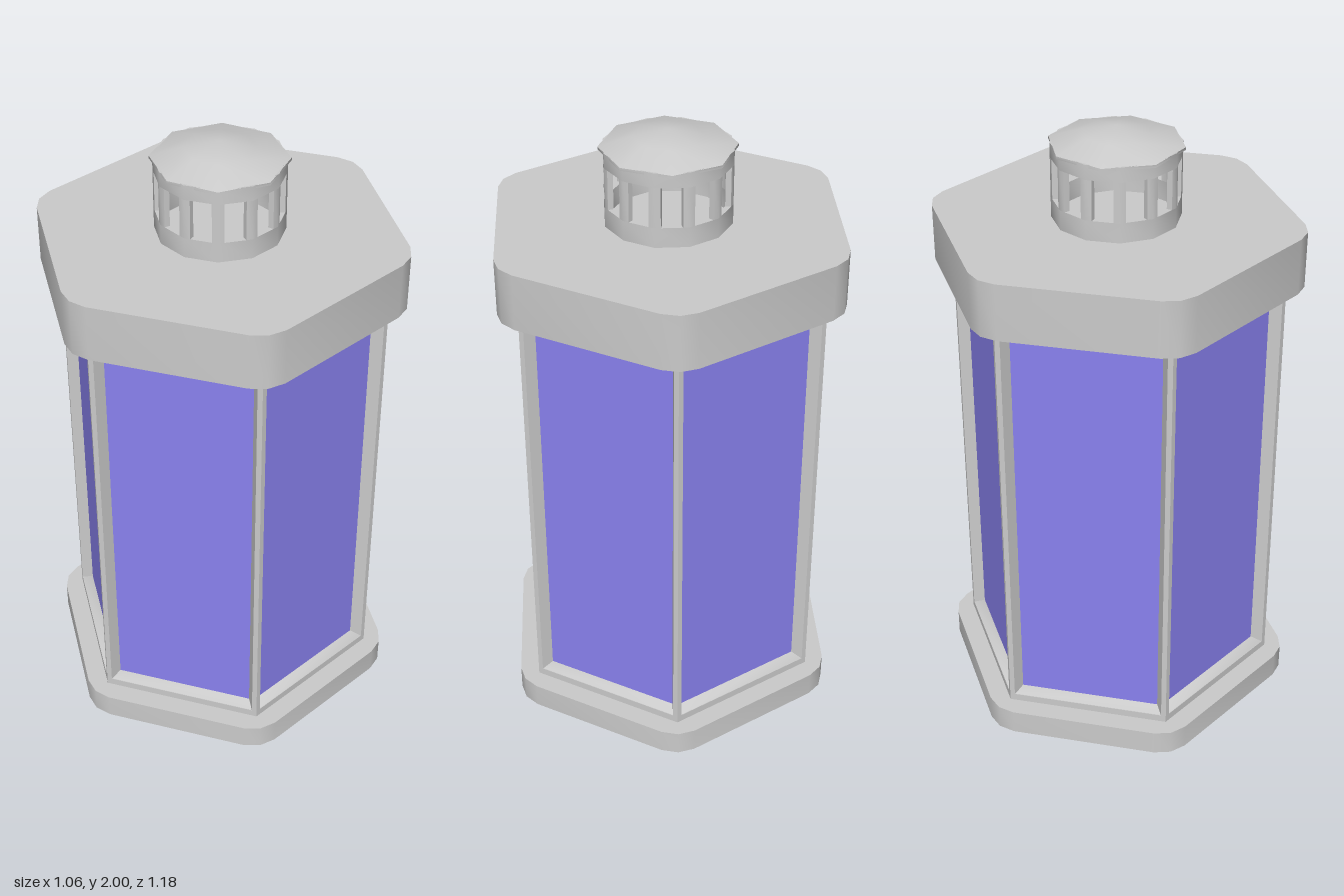
import * as THREE from 'three';
import { toCreasedNormals } from 'three/addons/utils/BufferGeometryUtils.js';

const TAU = Math.PI * 2;
const grey = new THREE.MeshStandardMaterial({ color: 0xcccccc });
const glass = new THREE.MeshStandardMaterial({ color: 0x8a82f0 });

// Regular polygon by apothem; 'turn' rotates the first corner away from z
function polygon(n, apothem, turn = 0) {
  const r = apothem / Math.cos(Math.PI / n);
  return Array.from({ length: n }, (_, i) => {
    const a = turn + (i / n) * TAU;
    return new THREE.Vector2(-r * Math.sin(a), r * Math.cos(a));
  });
}

// Plan outline extruded upwards from y0 to y1
function prism(points, y0, y1, hole) {
  const shape = new THREE.Shape(points);
  if (hole) shape.holes.push(new THREE.Path(hole));
  const geo = new THREE.ExtrudeGeometry(shape, { depth: y1 - y0, bevelEnabled: false });
  return toCreasedNormals(geo.rotateX(-Math.PI / 2).translate(0, y0, 0), 0.6);
}

// Posts at the corners of an n-sided wall, each with a kite-like section
function addPosts(group, name, n, outer, inner, halfWidth, y0, y1, turn) {
  const ro = outer / Math.cos(Math.PI / n), ri = inner / Math.cos(Math.PI / n);
  const c = Math.cos(Math.PI / n), s = Math.sin(Math.PI / n);
  const along = (r, w, side) => new THREE.Vector2(side * w * c, r - w * s);
  const section = [
    new THREE.Vector2(0, ro), along(ro, halfWidth, -1), along(ri, halfWidth, -1),
    new THREE.Vector2(0, ri), along(ri, halfWidth, 1), along(ro, halfWidth, 1),
  ];
  const geo = prism(section, y0, y1);
  for (let i = 0; i < n; i++) {
    const post = new THREE.Mesh(geo, grey);
    post.name = name;
    post.rotation.y = turn + (i / n) * TAU;
    group.add(post);
  }
}

export function createModel() {
  const model = new THREE.Group();
  model.name = 'lantern';
  const add = (name, geo, material = grey, parent = model) => {
    const mesh = new THREE.Mesh(geo, material);
    mesh.name = name;
    parent.add(mesh);
  };

  // Hexagonal slabs with softened corners
  const slab = [];
  for (let i = 0; i < 6; i++) {
    for (const [x, y] of [[0.055, 0.578], [0, 0.592], [-0.055, 0.578]]) {
      slab.push(new THREE.Vector2(x, y).rotateAround(new THREE.Vector2(), (i / 6) * TAU));
    }
  }
  add('base', prism(slab, 0, 0.085));
  add('roof', prism(slab, 1.52, 1.705));

  // Window frame: rails, sloped sills and corner posts
  const frame = new THREE.Group();
  frame.name = 'windowFrame';
  model.add(frame);
  const hex = polygon(6, 0.465), hexInner = polygon(6, 0.415);
  add('bottomRail', prism(hex, 0.085, 0.11, hexInner), grey, frame);
  add('topRail', prism(hex, 1.495, 1.52, hexInner), grey, frame);
  const k = 1 / Math.cos(Math.PI / 6);
  const sill = (y, rBottom, rTop) => toCreasedNormals(
    new THREE.CylinderGeometry(rTop * k, rBottom * k, 0.016, 6, 1, true).translate(0, y, 0), 0.6);
  add('bottomSill', sill(0.118, 0.463, 0.428), grey, frame);
  add('topSill', sill(1.487, 0.428, 0.463), grey, frame);
  addPosts(frame, 'cornerPost', 6, 0.465, 0.422, 0.016, 0.11, 1.495, 0);

  // Six coloured panes
  add('glassPanes', prism(polygon(6, 0.43), 0.115, 1.49, polygon(6, 0.418)), glass);

  // Slotted chimney vent
  const vent = new THREE.Group();
  vent.name = 'vent';
  model.add(vent);
  const turn = Math.PI / 12;
  const wall = polygon(12, 0.195, turn), bore = polygon(12, 0.178, turn);
  add('ventCollar', prism(wall, 1.705, 1.77, bore), grey, vent);
  add('ventRim', prism(wall, 1.9, 1.948, bore), grey, vent);
  addPosts(vent, 'ventBar', 12, 0.195, 0.178, 0.019, 1.77, 1.9, turn);

  // Low eight-sided lid
  const lid = [[0, 1.938], [0.212, 1.938], [0.212, 1.947], [0.11, 1.978], [0, 2]]
    .map(([x, y]) => new THREE.Vector2(x, y));
  add('ventLid', toCreasedNormals(new THREE.LatheGeometry(lid, 8), 0.9), grey, vent);

  return model;
}
